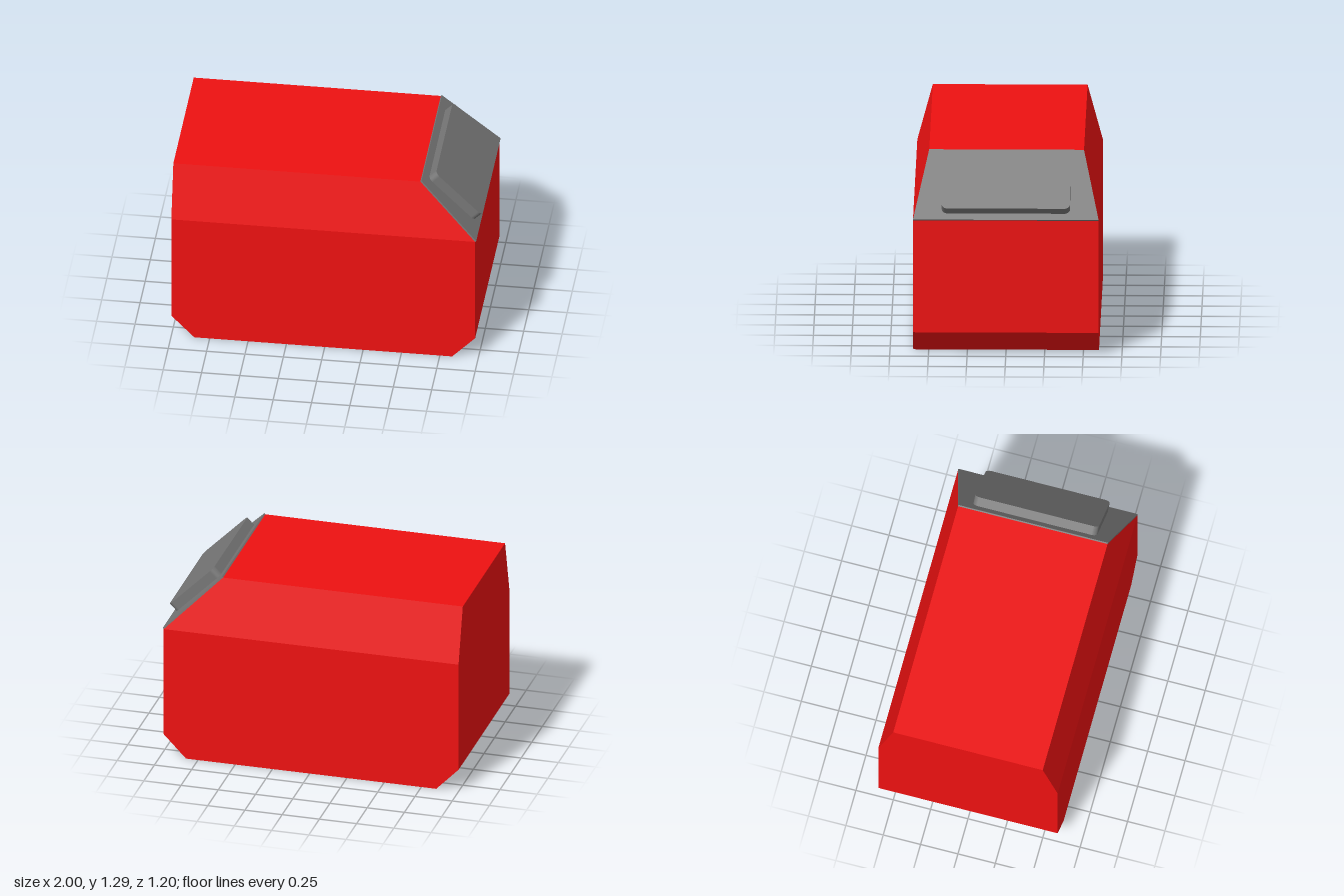
import * as THREE from 'three';
import { ConvexGeometry } from 'three/addons/geometries/ConvexGeometry.js';

const red = new THREE.MeshStandardMaterial({ color: 0xee1111, flatShading: true });
const grey = new THREE.MeshStandardMaterial({ color: 0x777777 });

// Convex solid from an outline of [x, y, halfWidth], mirrored across z = 0
function mirroredSolid(outline) {
  const points = outline.flatMap(([x, y, w]) => [new THREE.Vector3(x, y, w), new THREE.Vector3(x, y, -w)]);
  return new ConvexGeometry(points);
}

function roundedRect(w, h, r) {
  const s = new THREE.Shape();
  const x = w / 2 - r, y = h / 2 - r;
  s.absarc(x, y, r, 0, Math.PI / 2);
  s.absarc(-x, y, r, Math.PI / 2, Math.PI);
  s.absarc(-x, -y, r, Math.PI, Math.PI * 1.5);
  s.absarc(x, -y, r, Math.PI * 1.5, Math.PI * 2);
  s.closePath();
  return s;
}

export function createModel() {
  const group = new THREE.Group();
  const add = (name, geometry, material) => {
    const mesh = new THREE.Mesh(geometry, material);
    mesh.name = name;
    group.add(mesh);
    return mesh;
  };

  // Body: chamfered at the base, shoulders leaning in, one sloped corner
  add('body', mirroredSolid([
    [-0.85, 0, 0.6], [0.83, 0, 0.6], [0.98, 0.155, 0.6], [0.98, 0.905, 0.6],
    [0.61, 1.275, 0.5], [-1, 1.275, 0.5], [-1, 0.905, 0.6], [-1, 0.155, 0.6],
  ]), red);

  // Thin trapezoid plate lying on the slope
  const t = 0.007;
  add('slopePlate', mirroredSolid([
    [0.98, 0.905, 0.6], [0.98 + t, 0.905 + t, 0.6],
    [0.61 + t, 1.275 + t, 0.5], [0.61, 1.275, 0.5],
  ]), grey);

  // Raised pad with rounded corners on the plate
  const pad = new THREE.ExtrudeGeometry(roundedRect(0.83, 0.424, 0.035), {
    depth: 0.066, bevelEnabled: false, curveSegments: 8,
  });
  pad.rotateX(-Math.PI / 4).rotateY(Math.PI / 2);
  add('raisedPad', pad, grey).position.set(0.803, 1.094, 0);

  return group;
}
